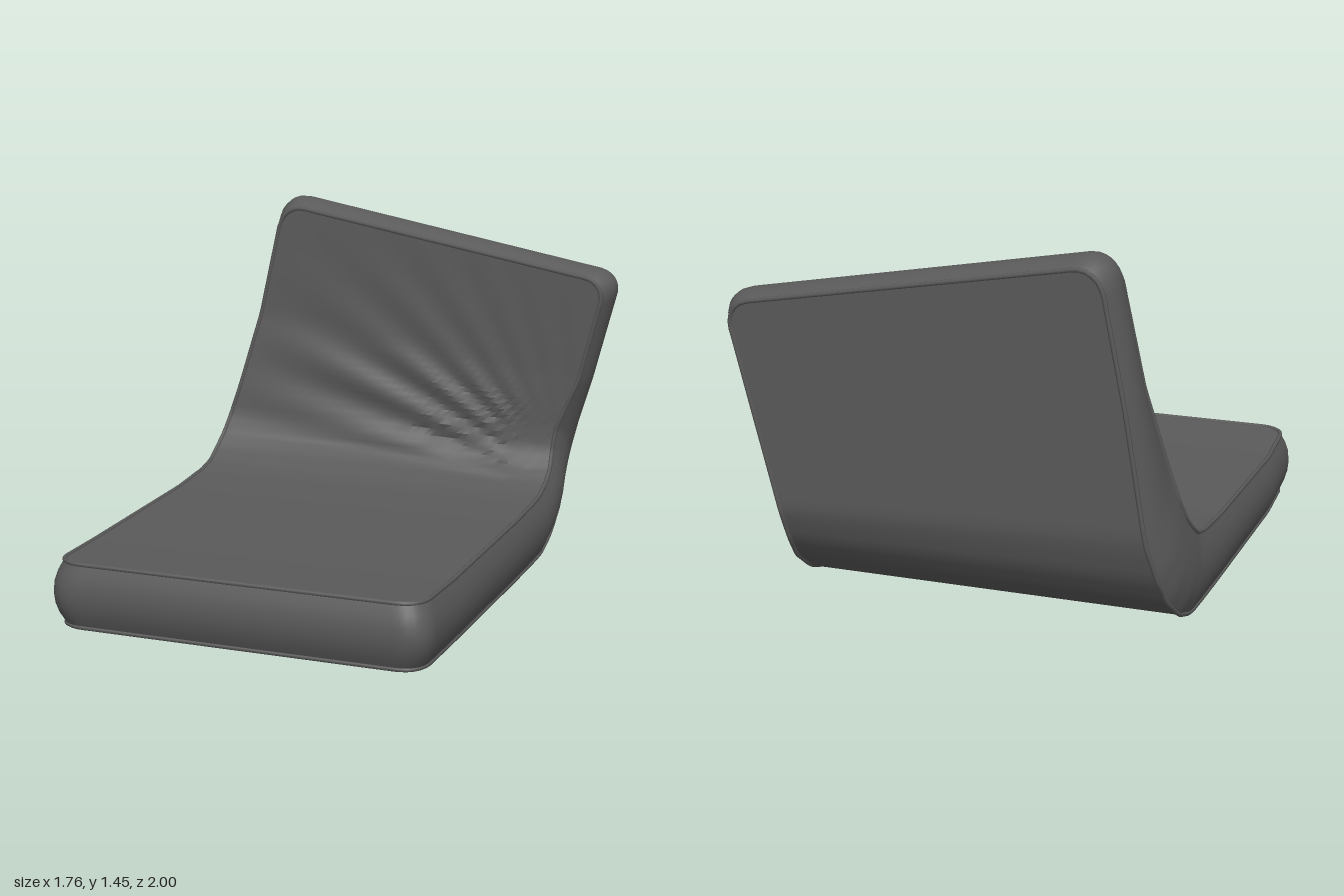
import * as THREE from 'three';
import { toCreasedNormals } from 'three/addons/utils/BufferGeometryUtils.js';

// Stations along the pad: distance, outer z, y, inner z, y, right x, left x, sideways lean, fold swell
const STATIONS = [
  [0.00, 1.00, 0.012, 1.00, 0.265, -0.86, 0.68, 0, 0],
  [0.40, 0.60, 0.006, 0.60, 0.250, -0.885, 0.68, 0, 0],
  [1.20, -0.20, 0.003, -0.20, 0.252, -0.885, 0.68, 0, 0.02],
  [1.45, -0.45, 0.005, -0.45, 0.260, -0.885, 0.68, 0, 0.04],
  [1.575, -0.60, 0.010, -0.56, 0.270, -0.885, 0.68, 0, 0.06],
  [1.705, -0.75, 0.060, -0.65, 0.300, -0.885, 0.68, 0, 0.085],
  [1.83, -0.87, 0.150, -0.72, 0.350, -0.875, 0.68, 0, 0.10],
  [1.93, -0.94, 0.250, -0.765, 0.430, -0.855, 0.675, 0.05, 0.10],
  [2.03, -0.985, 0.380, -0.775, 0.530, -0.82, 0.685, 0.18, 0.09],
  [2.38, -0.99, 0.800, -0.78, 0.800, -0.74, 0.775, 0.7, 0.03],
  [2.90, -0.99, 1.320, -0.78, 1.320, -0.63, 0.895, 1, 0],
];
const LENGTH = 2.9, HALF = 0.78, RADIUS = 0.1;

function station(s) {
  let i = 0;
  while (i < STATIONS.length - 2 && s > STATIONS[i + 1][0]) i++;
  const a = STATIONS[i], b = STATIONS[i + 1];
  const t = (s - a[0]) / (b[0] - a[0]);
  return a.map((value, k) => value + (b[k] - value) * t);
}

// Bend a flat pad point (u across, v from back to front, w through the thickness)
function bend(u, v, w, out = new THREE.Vector3()) {
  let a = u * HALF, b = v * LENGTH / 2;

  // Rounded pad corners
  const dx = Math.abs(a) - (HALF - RADIUS), dy = Math.abs(b) - (LENGTH / 2 - RADIUS);
  if (dx > 0 && dy > 0) {
    const k = Math.max(dx, dy) / Math.hypot(dx, dy);
    a = Math.sign(a) * (HALF - RADIUS + dx * k);
    b = Math.sign(b) * (LENGTH / 2 - RADIUS + dy * k);
  }

  // Sides belly outwards between the two seams
  const inset = 0.036 * (2 * w - 1) ** 2;
  a *= 1 - inset / HALF;
  b *= 1 - inset / (LENGTH / 2);

  const [, oz, oy, iz, iy, right, left, lean, swell] = station(LENGTH / 2 - b);
  const across = (a / HALF + 1) / 2;
  const x = right + (left - right) * across;
  let y = oy + (iy - oy) * w, z = oz + (iz - oz) * w;

  // Upholstery gathers up in the inner fold, more on the right side
  const gather = swell * w * w * (1 - across);
  z += gather * 0.85;
  y += gather * 0.5;
  y -= 0.18 * (x - 0.13) * lean;

  // Creases fan out from the left end of the fold
  if (w === 1 && z < -0.5) {
    const angle = Math.atan2(y - 0.27, 0.72 - x);
    const fade = Math.min(1, swell / 0.06) * Math.sin(Math.PI * THREE.MathUtils.clamp(across, 0, 1));
    z += 0.014 * fade * Math.cos(angle * 32);
  }
  return out.set(x, y, z);
}

// Piping that follows the rim of one face
function rimCurve(w) {
  const points = [], n = 60;
  const corners = [[-1, -1], [1, -1], [1, 1], [-1, 1]];
  corners.forEach(([u, v], i) => {
    const [u2, v2] = corners[(i + 1) % 4];
    for (let j = 0; j < n; j++) {
      const t = j / n;
      points.push(bend(u + (u2 - u) * t, v + (v2 - v) * t, w));
    }
  });
  return new THREE.CatmullRomCurve3(points, true);
}

export function createModel() {
  const group = new THREE.Group();
  group.name = 'bentSeatCushion';
  const fabric = new THREE.MeshStandardMaterial({ color: 0x5a5a5a });
  fabric.name = 'charcoalFabric';

  // Padded body, a subdivided slab bent into seat and backrest
  const slab = new THREE.BoxGeometry(2, 1, 2, 48, 6, 90);
  const position = slab.attributes.position;
  const p = new THREE.Vector3();
  for (let i = 0; i < position.count; i++) {
    bend(position.getX(i), position.getZ(i), position.getY(i) + 0.5, p);
    position.setXYZ(i, p.x, p.y, p.z);
  }
  const body = new THREE.Mesh(toCreasedNormals(slab, 0.75), fabric);
  body.name = 'cushionBody';
  group.add(body);

  // Seam piping around the inner and outer panels
  [['outerPiping', 0], ['innerPiping', 1]].forEach(([name, w]) => {
    const piping = new THREE.Mesh(new THREE.TubeGeometry(rimCurve(w), 300, 0.009, 6, true), fabric);
    piping.name = name;
    group.add(piping);
  });

  // Stand the cushion on the ground, centred
  const box = new THREE.Box3().setFromObject(group);
  const centre = box.getCenter(new THREE.Vector3());
  group.children.forEach((mesh) => mesh.position.set(-centre.x, -box.min.y, -centre.z));
  return group;
}
